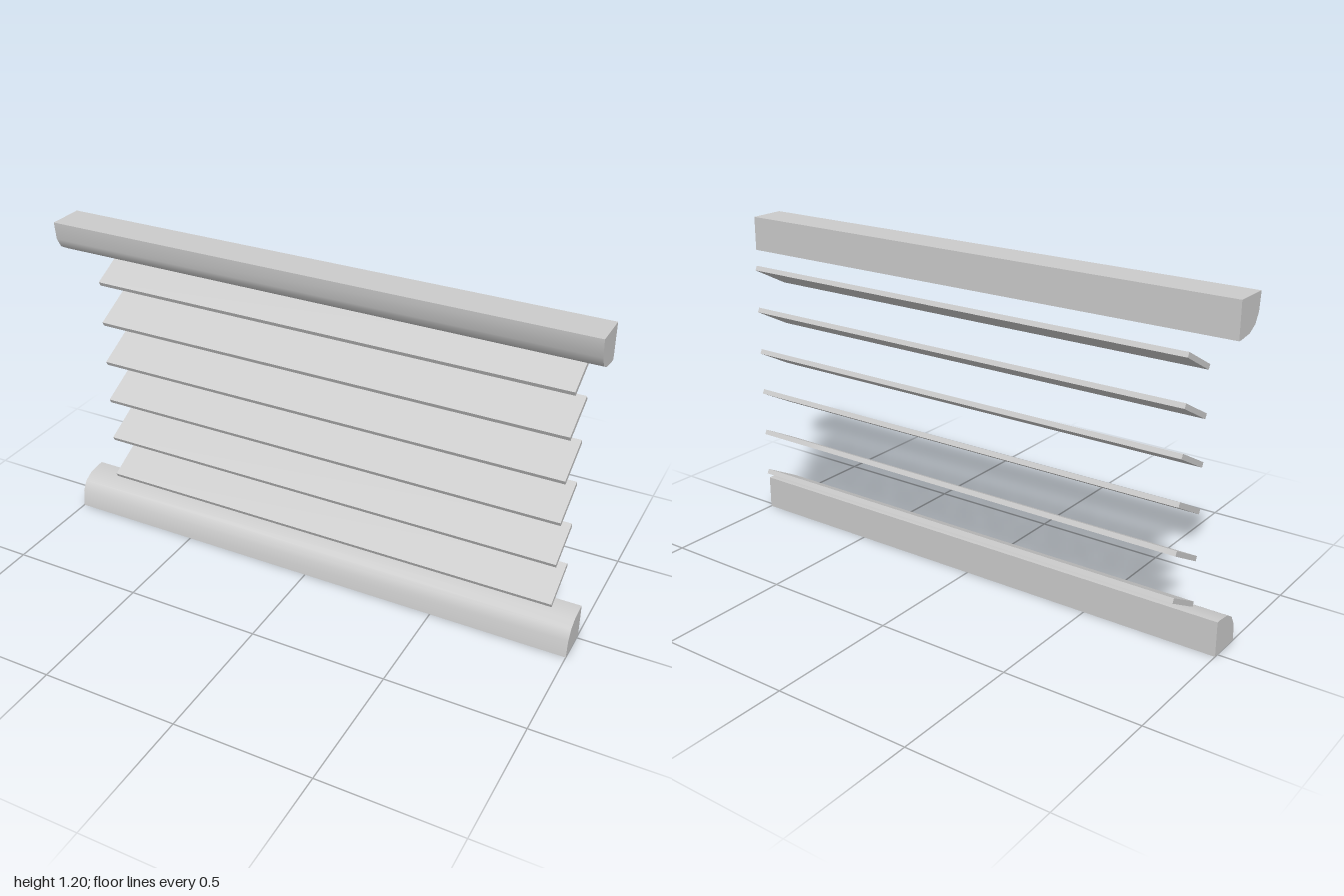
import * as THREE from 'three';
import { toCreasedNormals } from 'three/addons/utils/BufferGeometryUtils.js';

const material = new THREE.MeshStandardMaterial({ color: 0xcccccc });

// Quarter-round rail section as [z, y], flat at the back
const RAIL_SECTION = [
  [-0.017, 0], [0.117, 0], [0.11, 0.065], [0.09, 0.1],
  [0.055, 0.12], [0, 0.127], [-0.017, 0.127],
];

// Rail across the full width; direction 1 rounds upward, -1 downward
function createRail(name, baseY, direction) {
  const shape = new THREE.Shape(
    RAIL_SECTION.map(([z, y]) => new THREE.Vector2(z, baseY + direction * y))
  );
  const extruded = new THREE.ExtrudeGeometry(shape, { depth: 2, bevelEnabled: false });
  extruded.rotateY(-Math.PI / 2).translate(1, 0, 0);
  const rail = new THREE.Mesh(toCreasedNormals(extruded, 0.7), material);
  rail.name = name;
  return rail;
}

export function createModel() {
  const model = new THREE.Group();
  model.name = 'louvreBlind';

  model.add(createRail('bottomRail', 0, 1));
  model.add(createRail('topRail', 1.198, -1));

  // Tilted slats, lower edge to the front
  const slats = new THREE.Group();
  slats.name = 'slats';
  const slatGeometry = new THREE.BoxGeometry(1.795, 0.018, 0.167);
  [0.17, 0.337, 0.505, 0.667, 0.831, 0.993].forEach((y, i) => {
    const slat = new THREE.Mesh(slatGeometry, material);
    slat.name = `slat${i + 1}`;
    slat.position.set(0.013, y, -0.036);
    slat.rotation.x = 0.48;
    slats.add(slat);
  });
  model.add(slats);

  return model;
}
